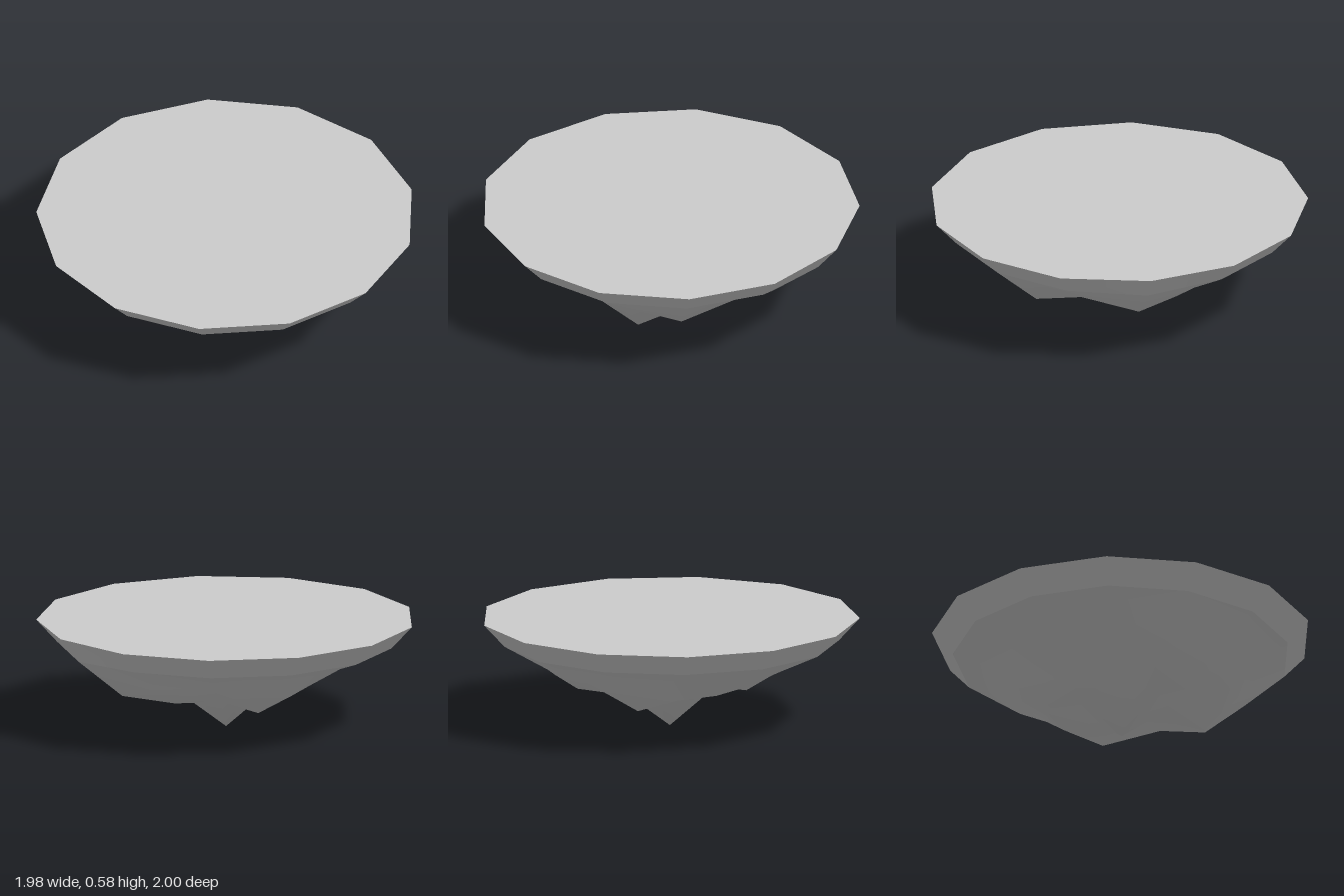
import * as THREE from 'three';

const SIDES = 13;
const CENTRE_X = -0.015;
const RADIUS = 1.005;
const TOP_Y = 0.585;

// One ring of points; heights and radii may be a single number or one per side
function ring(radius, height) {
  const pick = (v, k) => (Array.isArray(v) ? v[k] : v);
  return Array.from({ length: SIDES }, (_, k) => {
    const a = (k / SIDES) * Math.PI * 2;
    const r = pick(radius, k);
    return [CENTRE_X + r * Math.cos(a), pick(height, k), r * Math.sin(a)];
  });
}

// Joins rings from top to bottom, optionally closing on a tip, with smooth normals
function skin(rings, tip) {
  const points = rings.flat();
  const index = [];
  const last = (rings.length - 1) * SIDES;
  for (let k = 0; k < SIDES; k++) {
    const n = (k + 1) % SIDES;
    for (let o = 0; o < last; o += SIDES) {
      const a = o + k, b = o + n, c = a + SIDES, d = b + SIDES;
      index.push(a, b, c, b, d, c);
    }
    if (tip) index.push(last + k, last + n, points.length);
  }
  if (tip) points.push(tip);
  const geo = new THREE.BufferGeometry();
  geo.setAttribute('position', new THREE.Float32BufferAttribute(points.flat(), 3));
  geo.setIndex(index);
  geo.computeVertexNormals();
  return geo;
}

export function createModel() {
  const group = new THREE.Group();
  group.name = 'floatingIsland';
  const material = new THREE.MeshStandardMaterial({ color: 0xcccccc, side: THREE.DoubleSide });
  const add = (name, geometry) => {
    const mesh = new THREE.Mesh(geometry, material);
    mesh.name = name;
    group.add(mesh);
  };

  // Flat ground on top
  const ground = new THREE.CircleGeometry(RADIUS, SIDES).rotateX(-Math.PI / 2);
  add('ground', ground.translate(CENTRE_X, TOP_Y, 0));

  // Sloping rim band
  const edge = ring(0.895, [0.45, ...Array(SIDES - 1).fill(0.465)]);
  add('rim', skin([ring(RADIUS, TOP_Y), edge]));

  // Rocky underside with irregular hanging peaks
  const outer = ring(
    [0.63, 0.64, 0.61, 0.67, 0.67, 0.67, 0.66, 0.67, 0.67, 0.66, 0.64, 0.66, 0.66],
    [0.235, 0.315, 0.22, 0.345, 0.36, 0.35, 0.345, 0.36, 0.37, 0.38, 0.37, 0.36, 0.33]);
  const middle = ring(
    [0.46, 0.46, 0.46, 0.45, 0.45, 0.45, 0.45, 0.45, 0.45, 0.45, 0.445, 0.45, 0.5],
    [0.28, 0.25, 0.21, 0.09, 0.27, 0.145, 0.245, 0.25, 0.24, 0.23, 0.165, 0.24, 0.22]);
  const inner = ring(0.225,
    [0.17, 0.17, 0.18, 0.19, 0.2, 0.19, 0.195, 0.2, 0.2, 0.21, 0.22, 0.19, 0.17]);
  add('rockyUnderside', skin([edge, outer, middle, inner], [CENTRE_X, 0, 0]));

  return group;
}
